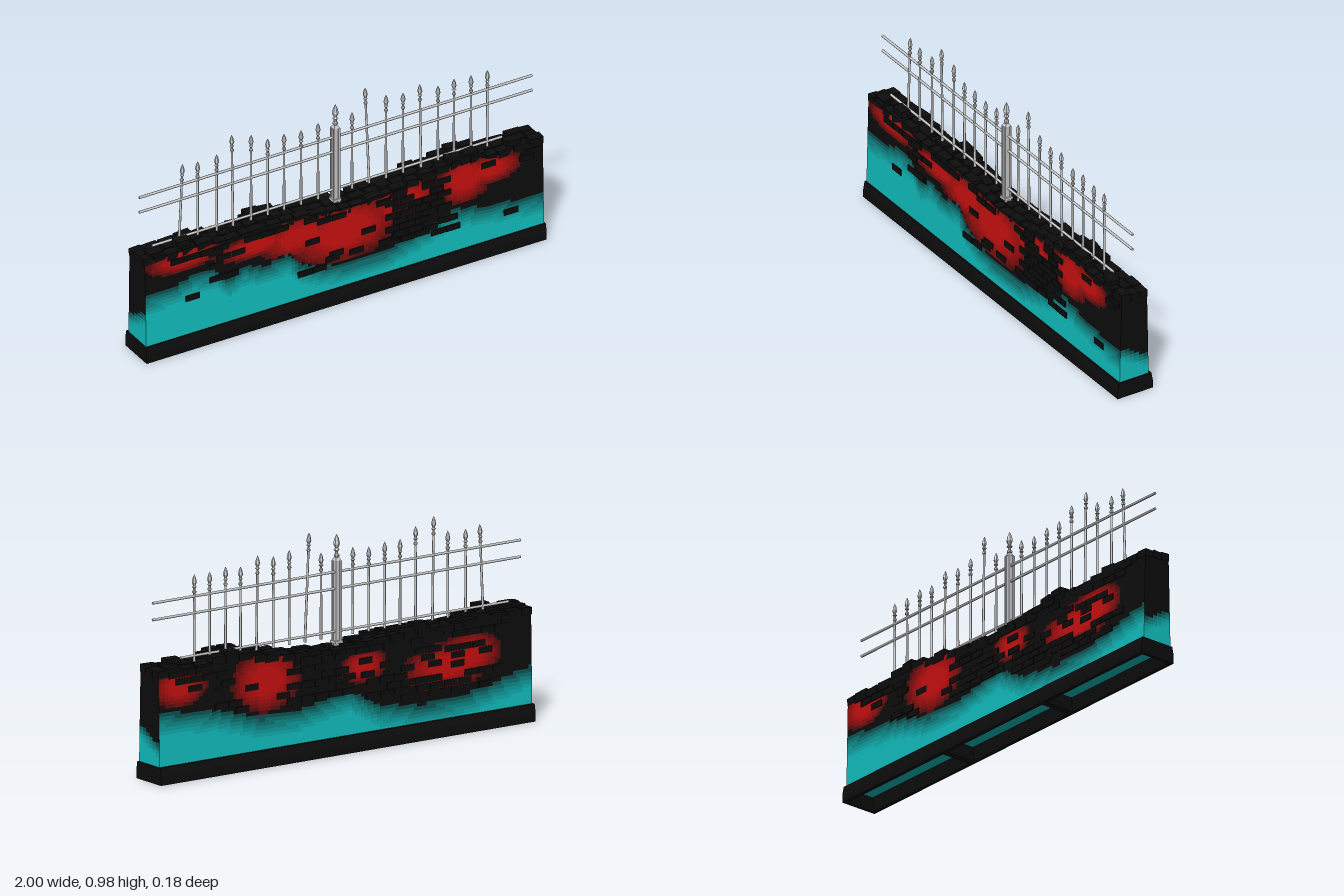
import * as THREE from 'three';

const grey = new THREE.MeshStandardMaterial({ color: 0xcccccc });
const greyFlat = new THREE.MeshStandardMaterial({ color: 0xcccccc, flatShading: true });
const black = new THREE.MeshStandardMaterial({ color: 0x0d0d0d });
const tealColor = new THREE.Color(0x12c2c2);
const redColor = new THREE.Color(0xcc1010);
const teal = new THREE.MeshStandardMaterial({ color: tealColor });

// tones from teal (-LEVELS) through black (0) to red (+LEVELS)
const LEVELS = 6;
const tone = (k) => new THREE.MeshStandardMaterial({
  color: black.color.clone().lerp(k < 0 ? tealColor : redColor, Math.abs(k) / LEVELS) });

let seed = 7;
const rnd = (a = 0, b = 1) => {
  seed = (seed * 16807) % 2147483647;
  return a + (b - a) * seed / 2147483647;
};
const clamp = THREE.MathUtils.clamp;

// height along a polyline of [x, y] points
function along(points, x) {
  for (let i = 1; i < points.length; i++) {
    const [x0, y0] = points[i - 1], [x1, y1] = points[i];
    if (x <= x1) return y0 + (y1 - y0) * clamp((x - x0) / (x1 - x0), 0, 1);
  }
  return points[points.length - 1][1];
}

const WALL_BOTTOM = 0.07;
const crest = [[-1, 0.495], [-0.7, 0.495], [-0.6, 0.475], [-0.4, 0.485], [-0.2, 0.475], [0, 0.45],
  [0.2, 0.455], [0.3, 0.47], [0.5, 0.5], [0.66, 0.51], [0.72, 0.485], [1, 0.495]];
const topAt = (x) => along(crest, x);
// wall half-thickness, battered inward with height
const depthAt = (y, side) => side > 0 ? 0.077 - 0.025 * (y - 0.07) : -0.072 + 0.02 * (y - 0.07);

// colour zones: teal edge line, red blobs [x, y, rx, ry]
const zones = {
  front: {
    edge: [[-1, 0.28], [-0.85, 0.29], [-0.75, 0.32], [-0.65, 0.31], [-0.58, 0.24], [-0.5, 0.28], [-0.4, 0.25],
      [-0.28, 0.27], [-0.22, 0.2], [-0.12, 0.16], [0, 0.14], [0.2, 0.14], [0.4, 0.19], [0.55, 0.24],
      [0.7, 0.21], [0.85, 0.19], [1, 0.18]],
    red: [[0, 0.35, 0.3, 0.17], [-0.22, 0.39, 0.22, 0.11], [-0.45, 0.41, 0.22, 0.06], [-0.8, 0.46, 0.2, 0.07],
      [0.6, 0.42, 0.15, 0.13], [0.73, 0.43, 0.17, 0.08], [0.3, 0.4, 0.2, 0.11]],
  },
  back: {
    edge: [[-1, 0.2], [-0.62, 0.12], [-0.4, 0.11], [-0.18, 0.14], [-0.02, 0.23], [0.25, 0.18],
      [0.46, 0.18], [0.68, 0.24], [1, 0.27]],
    red: [[0.88, 0.42, 0.16, 0.1], [0.42, 0.38, 0.2, 0.15], [-0.1, 0.37, 0.13, 0.08], [-0.55, 0.31, 0.26, 0.11],
      [-0.66, 0.34, 0.18, 0.11]],
  },
};
function toneAt(zone, x, y) {
  const t = clamp((along(zone.edge, x) - y) / 0.11 + 0.5, 0, 1);
  let r = 0;
  for (const [cx, cy, rx, ry] of zone.red)
    r = Math.max(r, clamp(1.6 * (1 - Math.hypot((x - cx) / rx, (y - cy) / ry)), 0, 1));
  return Math.round(LEVELS * (t > 0 ? -t : r));
}

// panel from a point rule p(u, v), split into one mesh per tone
function panel(name, nu, nv, point, toneFn) {
  const group = new THREE.Group(), bins = new Map();
  group.name = name;
  for (let i = 0; i < nu; i++) for (let j = 0; j < nv; j++) {
    const at = (a, b) => point((i + a) / nu, (j + b) / nv);
    const k = toneFn(at(0.5, 0.5));
    if (!bins.has(k)) bins.set(k, []);
    const a = at(0, 0), b = at(1, 0), c = at(1, 1), d = at(0, 1);
    bins.get(k).push(...a, ...b, ...c, ...a, ...c, ...d);
  }
  for (const [k, pos] of bins) {
    const g = new THREE.BufferGeometry();
    g.setAttribute('position', new THREE.Float32BufferAttribute(pos, 3));
    g.computeVertexNormals();
    const m = new THREE.Mesh(g, tone(k));
    m.name = name + (k < 0 ? 'Teal' : k > 0 ? 'Red' : 'Black') + Math.abs(k);
    group.add(m);
  }
  return group;
}

function add(parent, name, geo, mat, x = 0, y = 0, z = 0) {
  const m = new THREE.Mesh(geo, mat);
  m.name = name;
  m.position.set(x, y, z);
  parent.add(m);
  return m;
}
const box = (p, name, mat, w, h, d, x, y, z) => add(p, name, new THREE.BoxGeometry(w, h, d), mat, x, y, z);

function buildWall(root) {
  for (const side of [1, -1]) {
    const name = side > 0 ? 'front' : 'back';
    root.add(panel(name + 'Wall', 120, 26, (u, v) => {
      const x = side * (2 * u - 1) * 0.995, y = WALL_BOTTOM + v * (topAt(x) - WALL_BOTTOM);
      return [x, y, depthAt(y, side)];
    }, ([x, y]) => toneAt(zones[name], x, y)));
    // end faces, the teal edge sloping from front to back
    root.add(panel(side > 0 ? 'leftEnd' : 'rightEnd', 6, 26, (u, v) => {
      const y = WALL_BOTTOM + v * (0.495 - WALL_BOTTOM);
      return [side * 0.995, y, THREE.MathUtils.lerp(depthAt(y, side), depthAt(y, -side), u)];
    }, ([, y, z]) => Math.round(-LEVELS * clamp((0.18 + z * 0.5 - y) / 0.07 + 0.5, 0, 1))));
  }
  root.add(panel('wallTop', 60, 1, (u, v) => {
    const x = (2 * u - 1) * 0.995, y = topAt(x);
    return [x, y, THREE.MathUtils.lerp(depthAt(y, 1), depthAt(y, -1), v)];
  }, () => 0));
}

function buildPlinth(root) {
  // long sides with a bevelled upper edge
  const profile = new THREE.Shape([[0.09, 0], [0.09, 0.04], [0.083, 0.077], [0.066, 0.077], [0.074, 0]]
    .map(([z, y]) => new THREE.Vector2(z, y)));
  const geo = new THREE.ExtrudeGeometry(profile, { depth: 2, bevelEnabled: false });
  for (const s of [1, -1]) {
    const m = add(root, s > 0 ? 'plinthFront' : 'plinthBack', geo, black, s, 0, 0);
    m.rotation.y = -s * Math.PI / 2;
    box(root, 'plinthEnd', black, 0.014, 0.077, 0.16, s * 0.993, 0.0385, 0);
    box(root, 'plinthRib', black, 0.03, 0.075, 0.15, s * 0.33, 0.0375, 0);
  }
  box(root, 'hollowCeiling', teal, 1.98, 0.01, 0.15, 0, 0.07, 0);
}

// a stone set into a wall face
function faceBrick(parent, x, y, side, w = 0.07, h = 0.028) {
  box(parent, 'brick', black, w, h, 0.02, x, y, depthAt(y, side) - side * 0.006 + rnd(-0.001, 0.002));
}

function buildBricks(root) {
  const bricks = new THREE.Group();
  bricks.name = 'bricks';
  root.add(bricks);
  // loose course along the crest, three stones deep
  for (const z of [0.046, 0, -0.044]) {
    for (let x = -0.998; x < 0.95;) {
      const w = Math.min(rnd(0.045, 0.08), 0.998 - x), h = 0.034;
      const b = box(bricks, 'topBrick', black, w, h, 0.042, x + w / 2, topAt(x + w / 2) - 0.006 + rnd(-0.006, 0.008), z);
      b.rotation.set(rnd(-0.06, 0.06), rnd(-0.06, 0.06), rnd(-0.06, 0.06));
      x += w + rnd(0, 0.012);
    }
  }
  // extra stones lying on top
  for (const [x, y, z] of [[-0.79, 0.52, 0.03], [-0.93, 0.505, 0.03], [0.56, 0.522, 0.04], [0.64, 0.522, 0.04],
    [0.86, 0.51, 0.03], [-0.4, 0.505, -0.045], [-0.33, 0.495, -0.045], [0.6, 0.52, -0.04], [0.38, 0.49, -0.045]])
    box(bricks, 'looseBrick', black, 0.07, 0.03, 0.045, x, y, z).rotation.y = rnd(-0.2, 0.2);
  // exposed patches in staggered courses: [x0, x1, y0, y1, side, density]
  const patches = [[0.24, 0.5, 0.22, 0.46, 1, 0.85], [-0.64, -0.5, 0.31, 0.44, 1, 0.6], [-0.1, 0.25, 0.43, 0.46, 1, 0.8],
    [-0.98, 1, 0.455, 0.48, 1, 0.45], [0.8, 0.98, 0.4, 0.48, 1, 0.4], [-0.2, 0.55, 0.2, 0.24, 1, 0.25],
    [-0.48, -0.1, 0.2, 0.42, -1, 0.6], [-0.82, -0.4, 0.2, 0.27, -1, 0.7], [-0.98, 1, 0.44, 0.48, -1, 0.5],
    [-0.02, 0.28, 0.27, 0.44, -1, 0.75], [0.55, 0.75, 0.27, 0.42, -1, 0.4], [-0.75, -0.5, 0.35, 0.4, -1, 0.5]];
  for (const [x0, x1, y0, y1, side, density] of patches)
    for (let y = y0, row = 0; y <= y1; y += 0.032, row++)
      for (let x = x0 + (row % 2) * 0.037; x < x1; x += 0.074)
        if (rnd() < density && y < topAt(x) - 0.005 && Math.abs(x) < 0.96) faceBrick(bricks, x, y, side);
  // single stones
  for (const [x, y] of [[-0.76, 0.255], [-0.16, 0.343], [0.12, 0.315], [-0.04, 0.25], [0.83, 0.19], [-0.06, 0.23],
    [-0.58, 0.31], [0.53, 0.25]]) faceBrick(bricks, x, y, 1);
  for (const [x, y] of [[0.5, 0.36], [0.33, 0.3], [-0.12, 0.33], [-0.6, 0.31], [0.8, 0.4]]) faceBrick(bricks, x, y, -1);
}

// spearhead with collars, tip at y = 0
const spearGeo = new THREE.LatheGeometry([[0.005, -0.085], [0.009, -0.08], [0.009, -0.074], [0.005, -0.07],
  [0.005, -0.062], [0.01, -0.057], [0.005, -0.05], [0.011, -0.036], [0.007, -0.016], [0, 0]]
  .map(([r, y]) => new THREE.Vector2(r, y)), 6);

function buildFence(root) {
  const fence = new THREE.Group();
  fence.name = 'fence';
  root.add(fence);
  // rails: [name, y, x0, x1]
  for (const [name, y, x0, x1] of [['lowerRail', 0.525, -0.92, 0.83], ['middleRail', 0.714, -0.985, 0.98], ['topRail', 0.788, -0.985, 0.98]])
    add(fence, name, new THREE.CylinderGeometry(0.006, 0.006, x1 - x0, 8), grey, (x0 + x1) / 2, y, 0).rotation.z = Math.PI / 2;
  // pickets: [x, tip height, lean about z, lean about x]
  const pickets = [[-0.785, 0.89, -0.045, 0], [-0.692, 0.88], [-0.597, 0.885], [-0.515, 0.96, 0.015, 0], [-0.425, 0.93],
    [-0.342, 0.885], [-0.26, 0.885], [-0.175, 0.875], [-0.09, 0.885], [0.08, 0.885], [0.166, 0.985, 0.035, -0.015],
    [0.25, 0.92], [0.335, 0.905], [0.425, 0.92, 0.015, 0], [0.51, 0.885], [0.59, 0.895], [0.675, 0.885], [0.757, 0.885]];
  for (const [x, tip, leanZ = 0, leanX = 0] of pickets) {
    const picket = new THREE.Group(), base = 0.5, length = tip - base;
    picket.name = 'picket';
    picket.position.set(x, base, 0);
    picket.rotation.set(leanX, 0, leanZ);
    add(picket, 'shaft', new THREE.CylinderGeometry(0.005, 0.006, length - 0.08, 8), grey, 0, (length - 0.08) / 2, 0);
    add(picket, 'spearhead', spearGeo, greyFlat, 0, length, 0);
    fence.add(picket);
  }
  // central post with corner strips, cap and finial
  const post = new THREE.Group();
  post.name = 'centralPost';
  post.position.set(-0.006, 0, 0.004);
  fence.add(post);
  box(post, 'postCore', grey, 0.025, 0.375, 0.025, 0, 0.65, 0);
  for (const sx of [1, -1]) for (const sz of [1, -1])
    box(post, 'postCorner', grey, 0.009, 0.375, 0.009, sx * 0.0115, 0.65, sz * 0.0115);
  const cap = add(post, 'postCap', new THREE.CylinderGeometry(0.008, 0.0215, 0.018, 4), greyFlat, 0, 0.846, 0);
  cap.rotation.y = Math.PI / 4;
  add(post, 'postFinial', spearGeo, greyFlat, 0, 0.955, 0).scale.set(1.35, 1.25, 1.35);
  box(post, 'postFoot', grey, 0.04, 0.012, 0.04, 0, 0.478, 0);
}

export function createModel() {
  const root = new THREE.Group();
  root.name = 'fencedWall';
  buildPlinth(root);
  buildWall(root);
  buildBricks(root);
  buildFence(root);
  return root;
}
